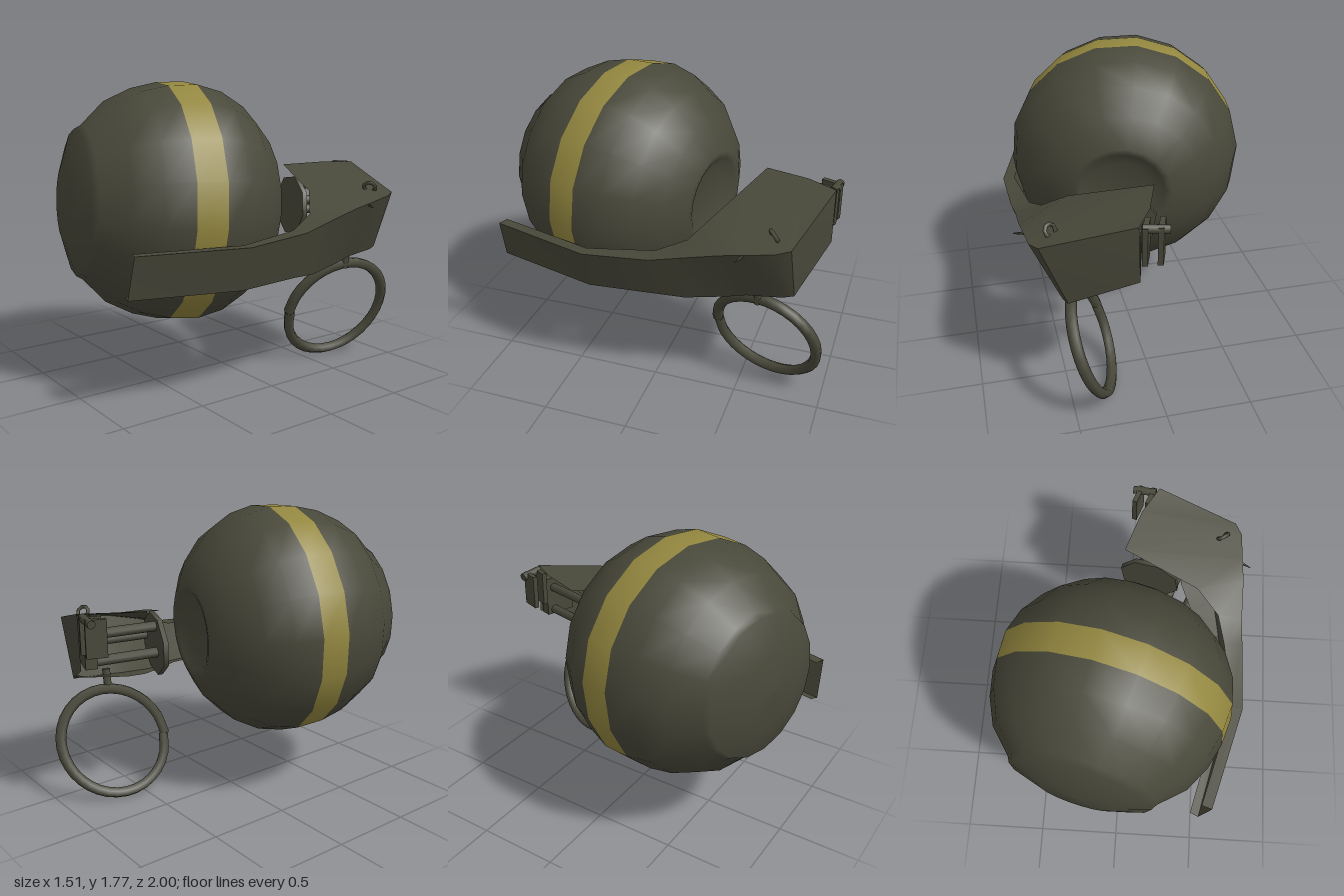
import * as THREE from 'three';
import { toCreasedNormals } from 'three/addons/utils/BufferGeometryUtils.js';

const olive = new THREE.MeshStandardMaterial({ color: 0x48483a, side: THREE.DoubleSide });
olive.name = 'olive';
const yellow = new THREE.MeshStandardMaterial({ color: 0x93873f, side: THREE.DoubleSide });
yellow.name = 'bandYellow';

const AXIS = new THREE.Vector3(0.25, -0.04, -1).normalize(); // body axis, front to back
const UP = new THREE.Vector3(0, 1, 0);

function add(group, name, geometry, material = olive) {
  const mesh = new THREE.Mesh(geometry, material);
  mesh.name = name;
  group.add(mesh);
  return mesh;
}

// Cylinder between two points
function rod(group, name, a, b, r0, r1 = r0, sides = 8) {
  const p = new THREE.Vector3(...a), q = new THREE.Vector3(...b);
  const d = q.clone().sub(p);
  const mesh = add(group, name, new THREE.CylinderGeometry(r1, r0, d.length(), sides));
  mesh.position.copy(p).addScaledVector(d, 0.5);
  mesh.quaternion.setFromUnitVectors(UP, d.normalize());
  return mesh;
}

// Channel open on its inner side: outer wall, bottom flange and top flange.
// Corners: outer top, outer bottom, inner bottom, inner top. An end wall is optional.
function channel(sections, end) {
  const pos = [];
  const quad = (a, b, c, d) => [a, b, c, a, c, d].forEach((p) => pos.push(...p));
  for (let i = 0; i < sections.length - 1; i++) {
    const s = sections[i], t = sections[i + 1];
    for (const j of [0, 1, 3]) {
      const k = (j + 1) % 4;
      quad(s[j], s[k], t[k], t[j]);
    }
  }
  if (end) quad(...end);
  const g = new THREE.BufferGeometry();
  g.setAttribute('position', new THREE.Float32BufferAttribute(pos, 3));
  g.computeVertexNormals();
  return toCreasedNormals(g, 0.55);
}

// Round body with a front cap step, a shallow rear socket and a painted band
function bodyGeometry() {
  const profile = [
    [0, -0.65], [0.22, -0.635], [0.42, -0.57], [0.44, -0.535], [0.58, -0.4], [0.66, -0.24],
    [0.7, -0.085], [0.712, 0.085], [0.675, 0.24], [0.59, 0.39], [0.45, 0.52], [0.29, 0.6],
    [0.25, 0.59], [0.17, 0.545], [0, 0.545],
  ].map(([r, y]) => new THREE.Vector2(r, y));
  const sides = 18, rows = profile.length - 1, band = 6;
  const g = new THREE.LatheGeometry(profile, sides);
  for (let i = 0; i < sides; i++) {
    const start = i * rows * 6;
    g.addGroup(start, band * 6, 0);
    g.addGroup(start + band * 6, 6, 1);
    g.addGroup(start + (band + 1) * 6, (rows - band - 1) * 6, 0);
  }
  return g;
}

export function createModel() {
  const model = new THREE.Group();
  model.name = 'roundCanister';

  const body = add(model, 'body', bodyGeometry(), [olive, yellow]);
  body.position.set(-0.06, 1.07, 0.34);
  body.quaternion.setFromUnitVectors(UP, AXIS);

  // Lever along the side of the body
  add(model, 'lever', channel([
    [[0.56, 0.92, 0.95], [0.5, 0.68, 0.96], [0.45, 0.69, 0.94], [0.5, 0.92, 0.93]],
    [[0.73, 0.92, 0.34], [0.65, 0.67, 0.34], [0.6, 0.68, 0.34], [0.66, 0.92, 0.34]],
    [[0.72, 0.95, -0.05], [0.63, 0.68, -0.05], [0.56, 0.69, -0.05], [0.61, 0.95, -0.05]],
    [[0.71, 0.99, -0.22], [0.6, 0.67, -0.22], [0.52, 0.68, -0.22], [0.56, 1.02, -0.22]],
  ]));

  // Fuze cover, an open shell widening from the lever shoulder, with a slanted end wall
  add(model, 'fuzeCover', channel([
    [[0.71, 0.99, -0.22], [0.6, 0.67, -0.22], [0.52, 0.68, -0.22], [0.56, 1.02, -0.22]],
    [[0.71, 1.05, -0.45], [0.56, 0.7, -0.45], [0.42, 0.71, -0.36], [0.42, 1.13, -0.34]],
    [[0.7, 1.07, -0.58], [0.54, 0.72, -0.56], [0.34, 0.75, -0.54], [-0.03, 1.24, -0.52]],
    [[0.69, 1.1, -0.74], [0.53, 0.74, -0.76], [0.34, 0.8, -0.8], [0.06, 1.25, -0.78]],
    [[0.65, 1.11, -0.81], [0.51, 0.75, -0.82], [0.34, 0.83, -0.88], [0.16, 1.25, -0.95]],
  ], [[0.65, 1.11, -0.81], [0.51, 0.75, -0.82], [0.15, 0.92, -0.95], [0.16, 1.25, -0.95]]));

  // Collar plate facing the body, with the striker rods running back under the cover
  const plate = add(model, 'collarPlate', new THREE.CylinderGeometry(0.19, 0.19, 0.03, 8));
  plate.position.set(0.13, 1.0, -0.46);
  plate.quaternion.setFromUnitVectors(UP, AXIS);
  for (const [x, y] of [[0.08, 1.12], [0.08, 0.96], [0.22, 1.04]]) {
    rod(model, 'strikerRod', [x, y, -0.47], [x + 0.1, y - 0.01, -0.86], 0.03);
  }
  const block = add(model, 'strikerBlock', new THREE.BoxGeometry(0.2, 0.26, 0.07));
  block.position.set(0.23, 1.05, -0.86);
  block.rotation.y = -0.3;

  // Pull ring in a tilted plane, its ends slightly offset at the split
  const ringPoints = [];
  for (let i = 0; i <= 17; i++) {
    const a = Math.PI + (i / 17) * Math.PI * 2;
    const k = 1 + 0.03 * (i / 17 - 0.5);
    ringPoints.push(new THREE.Vector3(
      0.355 + k * (0.11 * Math.sin(a) + 0.085 * Math.cos(a)),
      0.345 + k * 0.31 * Math.sin(a),
      -0.645 - k * 0.315 * Math.cos(a)));
  }
  add(model, 'pullRing', new THREE.TubeGeometry(new THREE.CatmullRomCurve3(ringPoints), 34, 0.033, 6));
  rod(model, 'ringHook', [0.46, 0.63, -0.61], [0.48, 0.78, -0.61], 0.025);

  // Safety pin eye and bent end on the outer edge of the cover
  const eye = add(model, 'pinEye', new THREE.TorusGeometry(0.035, 0.012, 5, 8));
  eye.position.set(0.57, 1.14, -0.7);
  eye.rotation.set(0.6, 0.5, 0);
  rod(model, 'pinEnd', [0.56, 1.08, -0.62], [0.75, 1.05, -0.54], 0.025, 0.003, 4);

  // Hinge pin and lugs at the rear corner
  rod(model, 'hingePin', [0.0, 1.22, -0.95], [0.14, 1.23, -0.93], 0.025);
  for (const [x, z] of [[0.03, -0.91], [0.11, -0.9]]) {
    const lug = add(model, 'hingeLug', new THREE.BoxGeometry(0.03, 0.22, 0.12));
    lug.position.set(x, 1.13, z);
    lug.rotation.y = -0.35;
  }
  return model;
}
